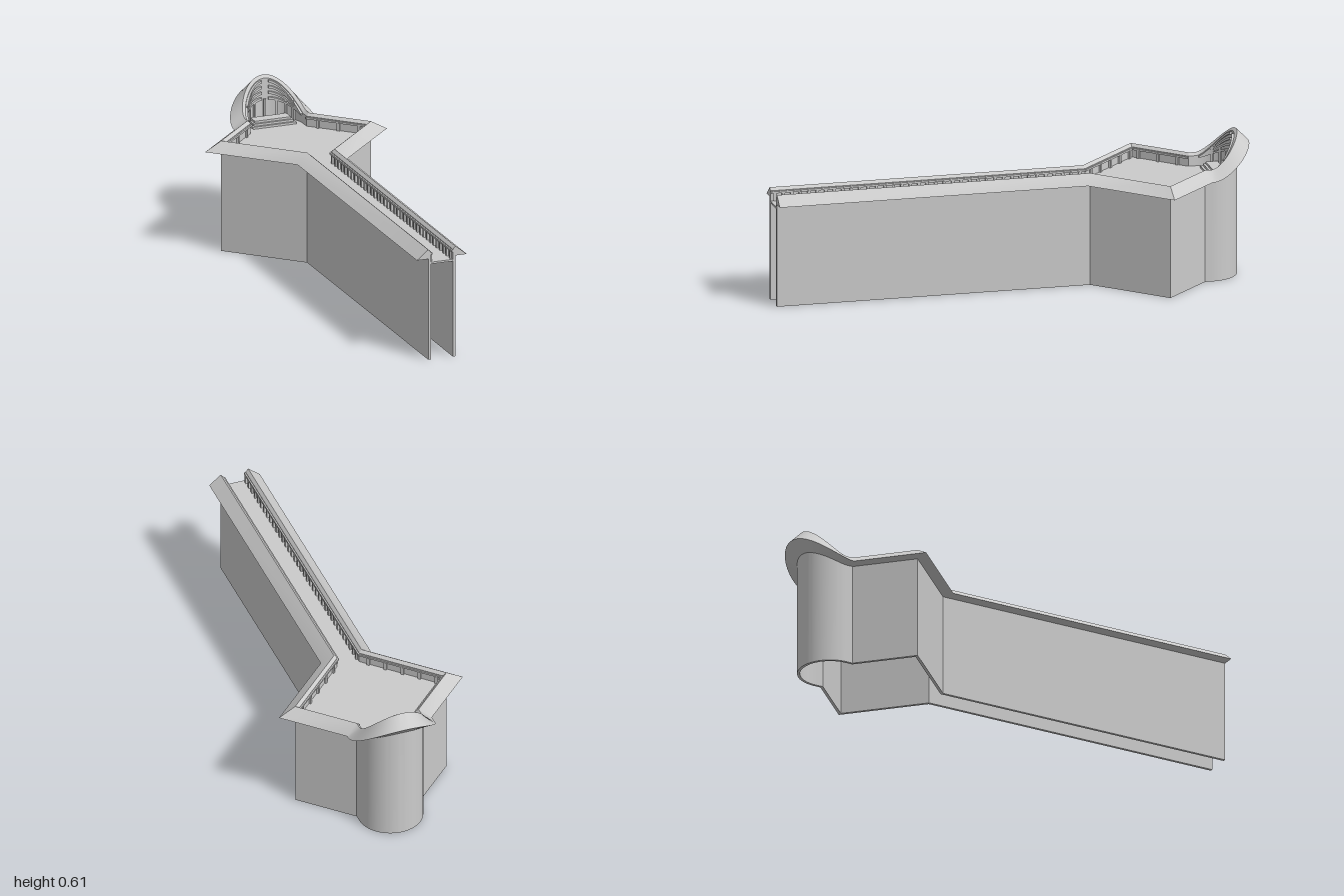
import * as THREE from 'three';
import { toCreasedNormals } from 'three/addons/utils/BufferGeometryUtils.js';

const FLOOR = 0.42, TOP = 0.475, T = 0.012, ARC = 48;
const APSE_Z = -0.815, APSE_R = 0.135;

// Keyhole plan: corridor, diamond court and round apse. Each point carries its
// outward mitre (mx, mz) and rise f, 0 on the straights and 1 at the apse back.
function makePath() {
  const side = [[0.06, 1], [0.06, -0.32], [0.33, -0.59], [0.135, -0.785]];
  const pts = side.map(([x, z]) => ({ x, z, f: 0 }));
  for (let i = 0; i <= ARC; i++) {
    const a = Math.PI * i / ARC;
    const s = Math.max(0, Math.sin(a));
    pts.push({ x: APSE_R * Math.cos(a), z: APSE_Z - APSE_R * s, f: s ** 1.5 });
  }
  side.reverse().forEach(([x, z]) => pts.push({ x: -x, z, f: 0 }));
  const normal = (a, b) => {
    const l = Math.hypot(b.x - a.x, b.z - a.z);
    return [-(b.z - a.z) / l, (b.x - a.x) / l];
  };
  pts.forEach((p, i) => {
    const n1 = normal(pts[Math.max(i - 1, 0)], pts[Math.max(i, 1)]);
    const last = pts.length - 1;
    const n2 = normal(pts[Math.min(i, last - 1)], pts[Math.min(i + 1, last)]);
    const k = 1 + n1[0] * n2[0] + n1[1] * n2[1];
    p.mx = (n1[0] + n2[0]) / k;
    p.mz = (n1[1] + n2[1]) / k;
  });
  return pts;
}

// Sweeps a closed counter-clockwise profile of [offset, y] along path points
function sweep(path, profile) {
  const rings = path.map(p => profile(p.f).map(([o, y]) => [p.x + p.mx * o, y, p.z + p.mz * o]));
  const pos = [];
  const tri = (a, b, c) => pos.push(...a, ...b, ...c);
  const n = rings[0].length;
  for (let i = 0; i < rings.length - 1; i++) {
    for (let j = 0; j < n; j++) {
      const k = (j + 1) % n, A = rings[i], B = rings[i + 1];
      tri(A[j], B[j], B[k]);
      tri(A[j], B[k], A[k]);
    }
  }
  const first = rings[0], end = rings[rings.length - 1];
  for (let j = 1; j < n - 1; j++) {
    tri(first[0], first[j], first[j + 1]);
    tri(end[0], end[j + 1], end[j]);
  }
  const g = new THREE.BufferGeometry();
  g.setAttribute('position', new THREE.Float32BufferAttribute(pos, 3));
  return toCreasedNormals(g, 0.5);
}

const band = (o1, o2, y1, y2) => [[o1, y1], [o2, y1], [o2, y2], [o1, y2]];

export function createModel() {
  const model = new THREE.Group();
  const mat = new THREE.MeshStandardMaterial({ color: 0xcccccc, side: THREE.DoubleSide });
  const add = (name, geo, parent = model) => {
    const m = new THREE.Mesh(geo, mat);
    m.name = name;
    parent.add(m);
    return m;
  };
  const group = name => {
    const g = new THREE.Group();
    g.name = name;
    model.add(g);
    return g;
  };
  const path = makePath();
  const height = f => TOP + 0.13 * f;

  // Thin outer wall, open underneath
  add('wall', sweep(path, f => band(-T, 0, 0, height(f) - 0.014)));

  // Sloping coping, rising into a hood around the apse
  add('coping', sweep(path, f => {
    const h = height(f), under = h - 0.04 - 0.06 * f;
    return [[-T, under], [0, under], [0.05, h - 0.04 - 0.01 * f], [0, h], [-T, h - 0.012]];
  }));

  // Floor slab
  const shape = new THREE.Shape(path.map(p => new THREE.Vector2(p.x - p.mx * 0.006, -(p.z - p.mz * 0.006))));
  const slab = new THREE.ExtrudeGeometry(shape, { depth: 0.008, bevelEnabled: false });
  slab.rotateX(-Math.PI / 2);
  add('floor', slab).position.y = FLOOR - 0.008;

  // Balustrade along the inside of the corridor and court
  const rails = group('balustrade');
  const L = path.length;
  for (const part of [path.slice(0, 4), path.slice(L - 4)]) {
    add('rail', sweep(part, () => band(-0.018, -T, 0.452, 0.46)), rails);
    for (let i = 0; i < 3; i++) {
      const a = part[i], b = part[i + 1];
      const len = Math.hypot(b.x - a.x, b.z - a.z);
      const count = Math.round(len / (len > 1 ? 0.036 : 0.08));
      for (let k = 0; k < count; k++) {
        const t = (k + 0.5) / count;
        const nx = -(b.z - a.z) / len, nz = (b.x - a.x) / len;
        const post = add('post', new THREE.BoxGeometry(0.01, 0.036, 0.012), rails);
        post.position.set(a.x + (b.x - a.x) * t - nx * 0.015, FLOOR + 0.016, a.z + (b.z - a.z) * t - nz * 0.015);
        post.rotation.y = Math.atan2(-nz, nx);
      }
    }
  }

  // Steps up to the apse platform
  const steps = group('steps');
  [-0.822, -0.832, -0.842].forEach((z, i) => {
    const h = 0.009 * (i + 1);
    const w = 0.19 - i * 0.016;
    add('step', new THREE.BoxGeometry(w, h, 0.05), steps).position.set(0, FLOOR + h / 2, z - 0.025);
  });

  // Pilasters around the apse wall
  const pilasters = group('pilasters');
  for (const deg of [30, 48, 66, 90, 114, 132, 150]) {
    const a = deg * Math.PI / 180, r = APSE_R - T - 0.003;
    const p = add('pilaster', new THREE.BoxGeometry(0.012, 0.085, 0.01), pilasters);
    p.position.set(r * Math.cos(a), FLOOR + 0.0425, APSE_Z - r * Math.sin(a));
    p.rotation.y = a;
  }

  // Curved ribs inside the hood, parted at the middle
  const ribs = group('hoodRibs');
  const mid = 4 + ARC / 2;
  for (const half of [path.slice(5, mid - 1), path.slice(mid + 2, L - 5)]) {
    for (const c of [0.505, 0.53, 0.555, 0.58]) {
      add('rib', sweep(half, f => {
        const y = 0.458 + (c - 0.458) * f;
        return band(-0.022, -T + 0.002, y - 0.003, y + 0.002 + 0.006 * f);
      }), ribs);
    }
  }
  return model;
}
